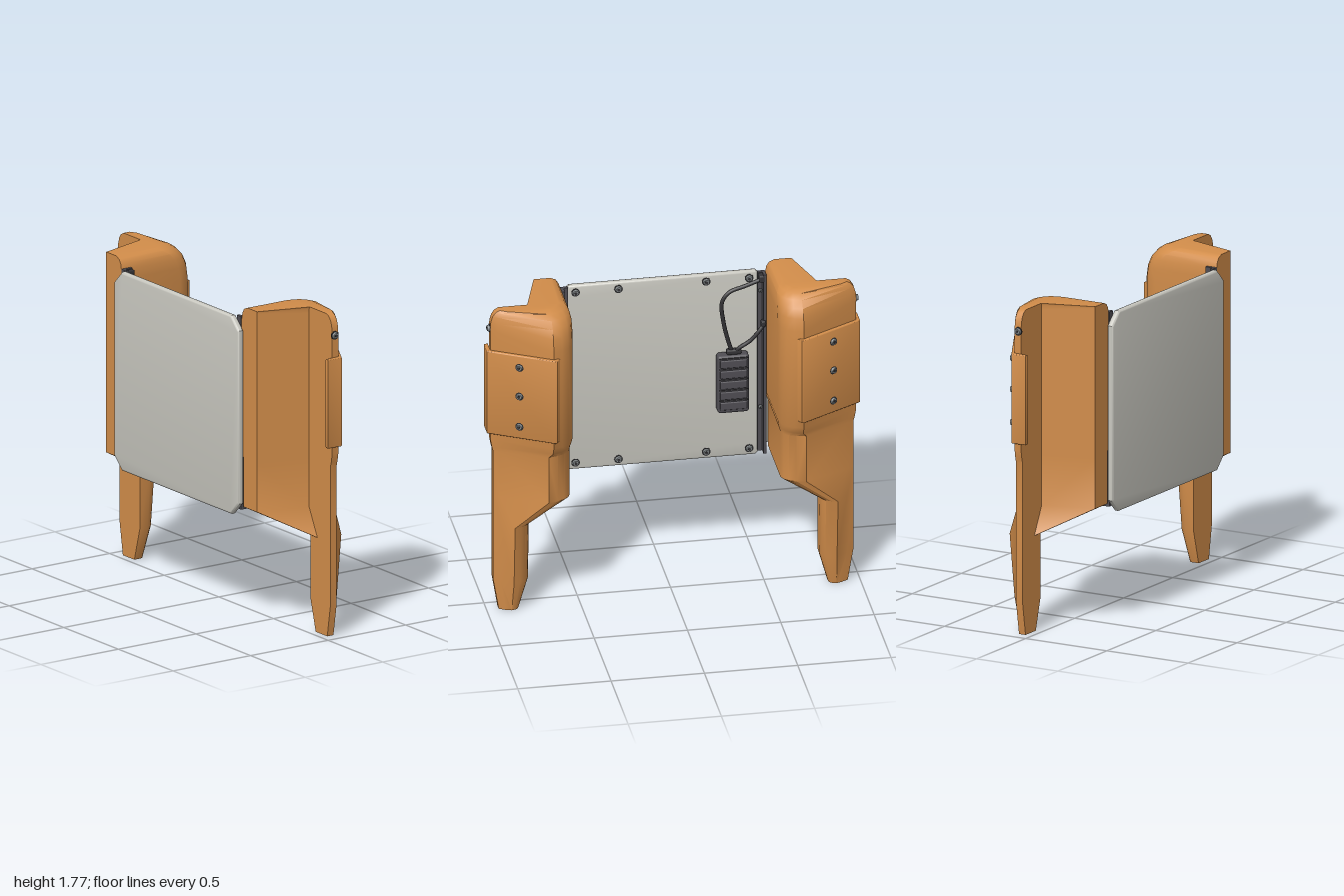
import * as THREE from 'three';
import { toCreasedNormals } from 'three/addons/utils/BufferGeometryUtils.js';
import { RoundedBoxGeometry } from 'three/addons/geometries/RoundedBoxGeometry.js';

const mat = (name, color) => {
  const m = new THREE.MeshStandardMaterial({ color });
  m.name = name;
  return m;
};

// Horizontal outline of a side casing: flange at the back, rounded inner front corner, slanted outer face
function section({ zi, xf, zf, zo, xb, zb, zc, w }) {
  const pts = [[xb, zi]];
  const corner = new THREE.QuadraticBezierCurve(
    new THREE.Vector2(xf - w, zi), new THREE.Vector2(xf - w * 0.2, zi + (zf - zi) * 0.1), new THREE.Vector2(xf, zf));
  for (const p of corner.getPoints(4)) pts.push([p.x, p.y]);
  pts.push([Math.min(0.1, xf - 0.005), zo - 0.035], [0.08, zo], [0.04, zo], [0.04, zc], [xb, zb]);
  return pts;
}

// Closed solid through horizontal rings of equal point count, listed upward
function loft(rings) {
  const n = rings[0].pts.length, pos = [], idx = [];
  for (const r of rings) for (const [x, z] of r.pts) pos.push(x, r.y, z);
  for (let i = 0; i < rings.length - 1; i++)
    for (let j = 0; j < n; j++) {
      const a = i * n + j, b = i * n + (j + 1) % n;
      idx.push(a, a + n, b + n, a, b + n, b);
    }
  const cap = (ring, up) => {
    const c = rings[ring].pts.map(([x, z]) => new THREE.Vector2(x, z));
    for (const [p, q, r] of THREE.ShapeUtils.triangulateShape(c, [])) {
      const turn = (c[q].x - c[p].x) * (c[r].y - c[p].y) - (c[q].y - c[p].y) * (c[r].x - c[p].x);
      const o = ring * n;
      if ((turn < 0) === up) idx.push(o + p, o + q, o + r);
      else idx.push(o + p, o + r, o + q);
    }
  };
  cap(0, false);
  cap(rings.length - 1, true);
  const g = new THREE.BufferGeometry();
  g.setAttribute('position', new THREE.Float32BufferAttribute(pos, 3));
  g.setIndex(idx);
  return toCreasedNormals(g, 0.6);
}

// Mirrored copy across z = 0 with the winding restored
function mirrorZ(geo) {
  const g = geo.index ? geo.toNonIndexed() : geo.clone();
  g.scale(1, 1, -1);
  for (const a of Object.values(g.attributes))
    for (let i = 0; i < a.count; i += 3)
      for (let k = 0; k < a.itemSize; k++) {
        const t = a.getComponent(i + 1, k);
        a.setComponent(i + 1, k, a.getComponent(i + 2, k));
        a.setComponent(i + 2, k, t);
      }
  return g;
}

function extrude(points, depth, bevel) {
  return new THREE.ExtrudeGeometry(new THREE.Shape(points.map(([x, y]) => new THREE.Vector2(x, y))), {
    depth, bevelEnabled: true, bevelSize: bevel, bevelOffset: -bevel, bevelThickness: bevel, bevelSegments: 3,
  });
}

export function createModel() {
  const model = new THREE.Group();
  model.name = 'panelWithSideCasings';
  const orange = mat('orange casing', 0xd28d4a);
  const grey = mat('light grey panel', 0xc9c8c0);
  const dark = mat('dark grey plastic', 0x504e54);
  const black = mat('black cable', 0x343336);
  const steel = mat('steel', 0x858a8c);

  const add = (name, geo, material, parent = model) => {
    const m = new THREE.Mesh(geo, material);
    m.name = name;
    parent.add(m);
    return m;
  };

  // Round screw head with a dark socket, facing along a normal
  const screw = (name, pos, normal, r = 0.02) => {
    const g = new THREE.Group();
    g.name = name;
    add('screwHead', new THREE.CylinderGeometry(r * 0.75, r, 0.014, 16).translate(0, 0.007, 0), steel, g);
    add('screwRing', new THREE.CylinderGeometry(r * 1.15, r * 1.15, 0.006, 16), black, g);
    add('screwSocket', new THREE.CylinderGeometry(r * 0.45, r * 0.45, 0.003, 6).translate(0, 0.015, 0), black, g);
    g.position.set(...pos);
    g.quaternion.setFromUnitVectors(new THREE.Vector3(0, 1, 0), new THREE.Vector3(...normal).normalize());
    model.add(g);
  };

  // Casing: tapered leg, lower body, stepped shell and rounded top
  const upper = { zi: 0.55, xf: 0.25, zf: 0.67, zo: 0.98, xb: -0.24, zb: 0.69, zc: 0.77, w: 0.11 };
  const lower = { ...upper, zi: 0.565, xf: 0.21, zf: 0.69, zo: 0.965, w: 0.08 };
  const leg = { zi: 0.78, xf: 0.18, zf: 0.865, zo: 0.965, xb: 0.04, zb: 0.84, zc: 0.845, w: 0.07 };
  const ring = (y, base, change = {}) => ({ y, pts: section({ ...base, ...change }) });
  const casing = loft([
    ring(0, leg, { zi: 0.83, xf: 0.11, zf: 0.87, zo: 0.935, zb: 0.86, zc: 0.865, w: 0.03 }),
    ring(0.18, leg, { xf: 0.15, w: 0.06 }),
    ring(0.52, leg),
    ring(0.67, lower),
    ring(0.94, lower),
    ring(0.965, upper, { xf: 0.225, zi: 0.558, zo: 0.972 }),
    ring(1.01, upper),
    ring(1.58, upper),
    ring(1.65, upper, { xf: 0.24 }),
    ring(1.70, upper, { xf: 0.217, zo: 0.978 }),
    ring(1.735, upper, { xf: 0.185, zi: 0.557, zo: 0.968 }),
    ring(1.758, upper, { xf: 0.15, zi: 0.572, zo: 0.952 }),
    ring(1.77, upper, { xf: 0.115, zi: 0.6, zo: 0.93, zc: 0.775 }),
  ]);

  // Bent cover plate wrapped over the slanted outer face
  const cover = toCreasedNormals(extrude([
    [0.245, 0.637], [0.272, 0.655], [0.272, 0.667], [0.088, 1.0], [0, 1.0], [0, 0.978], [0.07, 0.978], [0.235, 0.665],
  ], 0.478, 0.006).rotateX(Math.PI / 2).translate(0, 1.534, 0), 0.6);

  // Angle bracket joining casing and panel
  const bracketWeb = new THREE.BoxGeometry(0.06, 1.06, 0.016).translate(-0.212, 1.18, 0.54);
  const bracketFoot = new THREE.BoxGeometry(0.018, 1.06, 0.04).translate(-0.233, 1.18, 0.528);

  for (const s of [1, -1]) {
    const side = s > 0 ? 'front' : 'back';
    const place = (g) => (s > 0 ? g : mirrorZ(g));
    add(side + 'Casing', place(casing), orange);
    add(side + 'CoverPlate', place(cover), orange);
    add(side + 'BracketWeb', place(bracketWeb), dark);
    add(side + 'BracketFoot', place(bracketFoot), dark);
    for (const y of [1.12, 1.3, 1.47]) screw(side + 'CoverScrew', [0.173, y, s * 0.84], [0.875, 0, s * 0.483]);
    screw(side + 'EndScrew', [0.057, 1.66, s * 0.98], [0, 0, s]);
    for (const y of [0.91, 1.6]) screw(side + 'BracketScrew', [-0.225, y, s * 0.522], [1, 0, 0], 0.011);
    for (const z of [0.235, 0.465])
      for (const y of [0.66, 1.67]) screw(side + 'PanelScrew', [-0.241, y, s * z], [1, 0, 0]);
  }

  // Panel with clipped corners and a softened rim
  const [w, b, t, c] = [0.57, 0.62, 1.71, 0.07];
  add('panel', toCreasedNormals(extrude([
    [-w + c, b], [w - c, b], [w, b + c], [w, t - c], [w - c, t], [-w + c, t], [-w, t - c], [-w, b + c],
  ], 0.012, 0.012).rotateY(Math.PI / 2).translate(-0.265, 0, 0), 0.6), grey);

  // Hand control with raised pads
  add('handControl', new RoundedBoxGeometry(0.068, 0.34, 0.17, 3, 0.018).translate(-0.207, 1.08, -0.37), dark);
  for (let i = 0; i < 5; i++) {
    const y = 0.957 + i * 0.062;
    add('controlPad', new RoundedBoxGeometry(0.02, 0.046, 0.145, 2, 0.006).translate(-0.175, y, -0.37), dark);
    add('controlGroove', new THREE.BoxGeometry(0.006, 0.006, 0.15).translate(-0.173, y + 0.031, -0.37), black);
  }

  // Cable looping from the control to the bracket
  const cable = (name, points) => add(name, new THREE.TubeGeometry(
    new THREE.CatmullRomCurve3(points.map((p) => new THREE.Vector3(...p))), 40, 0.011, 8), black);
  cable('cableLoop', [[-0.2, 1.25, -0.37], [-0.195, 1.33, -0.345], [-0.19, 1.45, -0.318], [-0.185, 1.57, -0.31],
    [-0.185, 1.625, -0.35], [-0.19, 1.65, -0.43], [-0.2, 1.68, -0.53]]);
  cable('cableEnd', [[-0.2, 1.25, -0.375], [-0.19, 1.285, -0.4], [-0.18, 1.33, -0.46], [-0.175, 1.39, -0.51], [-0.185, 1.43, -0.54]]);
  add('cableCollar', new RoundedBoxGeometry(0.035, 0.03, 0.08, 2, 0.01).translate(-0.2, 1.265, -0.375), black);
  add('cableClip', new RoundedBoxGeometry(0.05, 0.04, 0.03, 2, 0.008).translate(-0.205, 1.685, -0.525), black);
  add('cablePlug', new RoundedBoxGeometry(0.035, 0.035, 0.025, 2, 0.008).translate(-0.185, 1.425, -0.53), black);

  return model;
}
